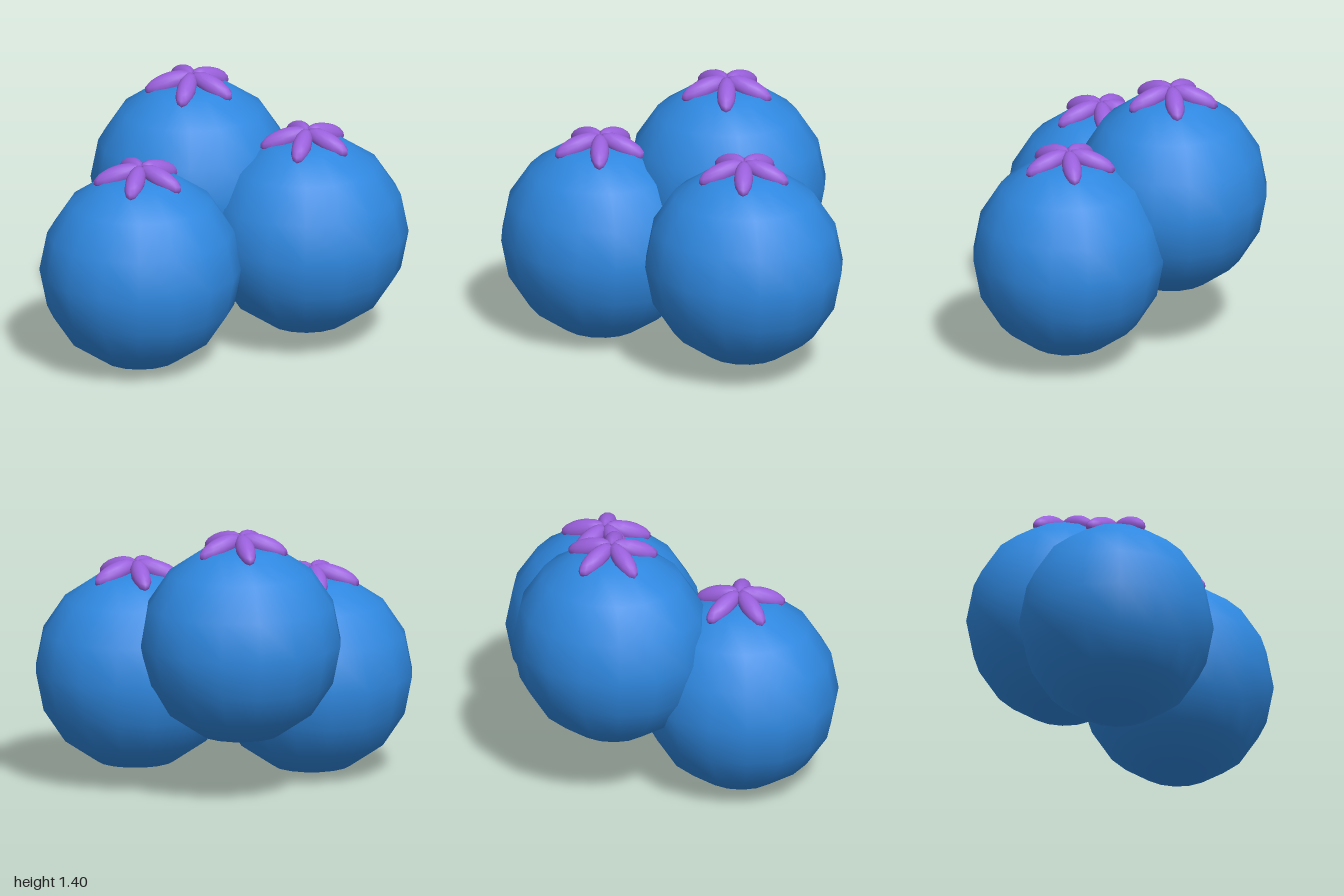
import * as THREE from 'three';

const skin = new THREE.MeshStandardMaterial({ color: 0x2f88e0 });
skin.name = 'berryBlue';
const crown = new THREE.MeshStandardMaterial({ color: 0x9a60dc });
crown.name = 'crownPurple';

// Slightly flattened berry body
const bodyGeo = new THREE.SphereGeometry(1, 16, 8).scale(0.53, 0.53, 0.503);

// Petal runs from the crown centre towards -z and droops outwards
const petalGeo = new THREE.SphereGeometry(1, 12, 8)
  .scale(0.05, 0.052, 0.129)
  .rotateX(-THREE.MathUtils.degToRad(20))
  .translate(0, 0.518, -0.124);

function createBerry(name, x, y, z) {
  const berry = new THREE.Group();
  berry.name = name;
  const body = new THREE.Mesh(bodyGeo, skin);
  body.name = 'berryBody';
  berry.add(body);

  // Five-petalled star crown
  for (let i = 0; i < 5; i++) {
    const petal = new THREE.Mesh(petalGeo, crown);
    petal.name = 'crownPetal';
    petal.rotation.y = (i * Math.PI * 2) / 5;
    berry.add(petal);
  }
  berry.position.set(x, y, z);
  return berry;
}

export function createModel() {
  const model = new THREE.Group();
  model.name = 'berryCluster';
  model.add(
    createBerry('rightBerry', -0.47, 0.535, 0.228),
    createBerry('leftBerry', 0.467, 0.605, 0.228),
    createBerry('backBerry', 0.008, 0.823, -0.232)
  );
  return model;
}
